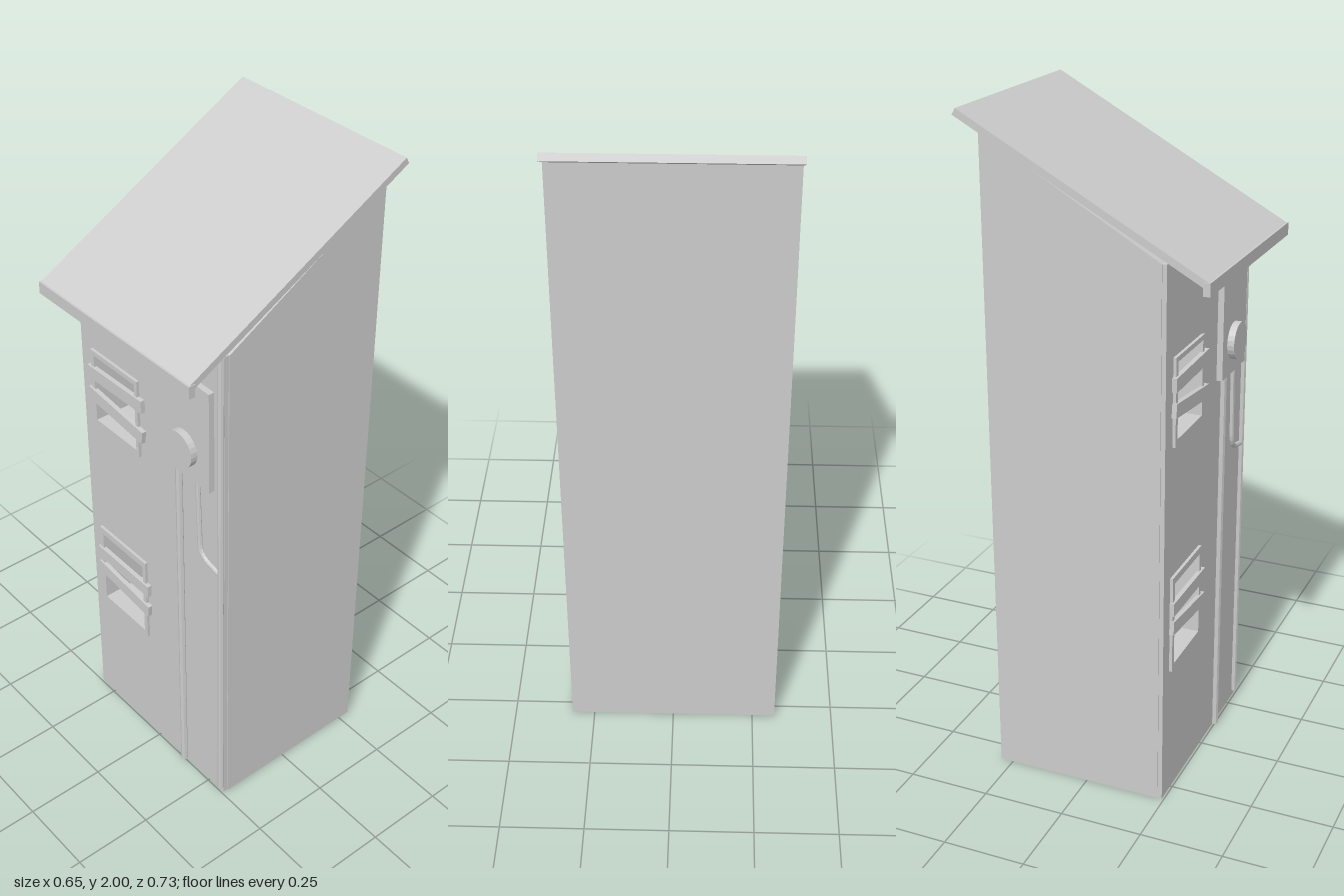
import * as THREE from 'three';

export function createModel() {
  const model = new THREE.Group();
  const material = new THREE.MeshStandardMaterial({ color: 0xcccccc, flatShading: true });

  const add = (name, geometry, x = 0, y = 0, z = 0, parent = model) => {
    const mesh = new THREE.Mesh(geometry, material);
    mesh.name = name;
    mesh.position.set(x, y, z);
    parent.add(mesh);
    return mesh;
  };
  const box = (w, h, d) => new THREE.BoxGeometry(w, h, d);
  const outline = (points) => new THREE.Shape(points.map(([a, b]) => new THREE.Vector2(a, b)));
  const rect = (Type, x0, y0, x1, y1) => new Type(
    [[x0, y0], [x1, y0], [x1, y1], [x0, y1]].map(([a, b]) => new THREE.Vector2(a, b)));
  const extrude = (shape, depth) =>
    new THREE.ExtrudeGeometry(shape, { depth, bevelEnabled: false });
  // Side profile given as [z, y], extruded across the width
  const sideProfile = (points, width) =>
    extrude(outline(points), width).translate(0, 0, -width / 2).rotateY(-Math.PI / 2);

  // Outer frame and opening of each window, plus its slats [y, tilt]
  const windows = [
    { outer: [-0.265, 1.115, -0.05, 1.375], inner: [-0.25, 1.135, -0.062, 1.36],
      slats: [[1.302, 0.02], [1.212, -0.11]] },
    { outer: [-0.27, 0.412, -0.042, 0.715], inner: [-0.255, 0.433, -0.056, 0.693],
      slats: [[0.616, -0.01], [0.545, -0.1]] },
  ];

  // Body: rear mass with sloping top, and front wall with window recesses
  add('body', sideProfile([[0.1, 0], [0.1, 1.638], [0.23, 1.638], [0.23, 1.645],
    [-0.29, 1.945], [-0.29, 0]], 0.64));
  const wall = (width, height) => {
    const shape = rect(THREE.Shape, -width / 2, 0, width / 2, height);
    for (const w of windows) shape.holes.push(rect(THREE.Path, ...w.inner));
    return shape;
  };
  add('frontWall', extrude(wall(0.64, 1.638), 0.13), 0, 0, 0.1);
  add('frontPanel', extrude(wall(0.635, 1.645), 0.013), 0, 0, 0.23);

  // Sloping roof and eave board
  add('roof', sideProfile([[0.352, 1.592], [0.362, 1.61], [-0.355, 2], [-0.365, 1.982]], 0.644));
  add('eaveBoard', box(0.65, 0.037, 0.02), 0, 1.593, 0.355);

  // Window frames with crooked slats
  windows.forEach((w, i) => {
    const group = new THREE.Group();
    group.name = i ? 'lowerWindow' : 'upperWindow';
    model.add(group);
    const frame = rect(THREE.Shape, ...w.outer);
    frame.holes.push(rect(THREE.Path, ...w.inner));
    add('windowFrame', extrude(frame, 0.014), 0, 0, 0.238, group);
    for (const [y, tilt] of w.slats) {
      add('slat', box(0.25, 0.041, 0.014), -0.15, y, 0.251, group).rotation.z = tilt;
    }
  });

  // Meter box with round dial
  add('meterBox', box(0.196, 0.325, 0.022), 0.177, 1.352, 0.25);
  add('meterDial', new THREE.CylinderGeometry(0.056, 0.056, 0.022, 24).rotateX(Math.PI / 2),
    0.17, 1.288, 0.271);

  // Straight pipe, corner pipe and bent conduit
  add('straightPipe', new THREE.CylinderGeometry(0.012, 0.012, 1.2, 8), 0.127, 0.6, 0.246);
  add('cornerPipe', new THREE.CylinderGeometry(0.01, 0.01, 1.62, 8), 0.307, 0.83, 0.246);
  const path = new THREE.CurvePath();
  const p = (x, y) => new THREE.Vector3(x, y, 0.246);
  path.add(new THREE.LineCurve3(p(0.208, 1.2), p(0.216, 0.97)));
  path.add(new THREE.QuadraticBezierCurve3(p(0.216, 0.97), p(0.218, 0.925), p(0.26, 0.917)));
  path.add(new THREE.LineCurve3(p(0.26, 0.917), p(0.306, 0.907)));
  add('bentConduit', new THREE.TubeGeometry(path, 24, 0.008, 8));

  return model;
}
